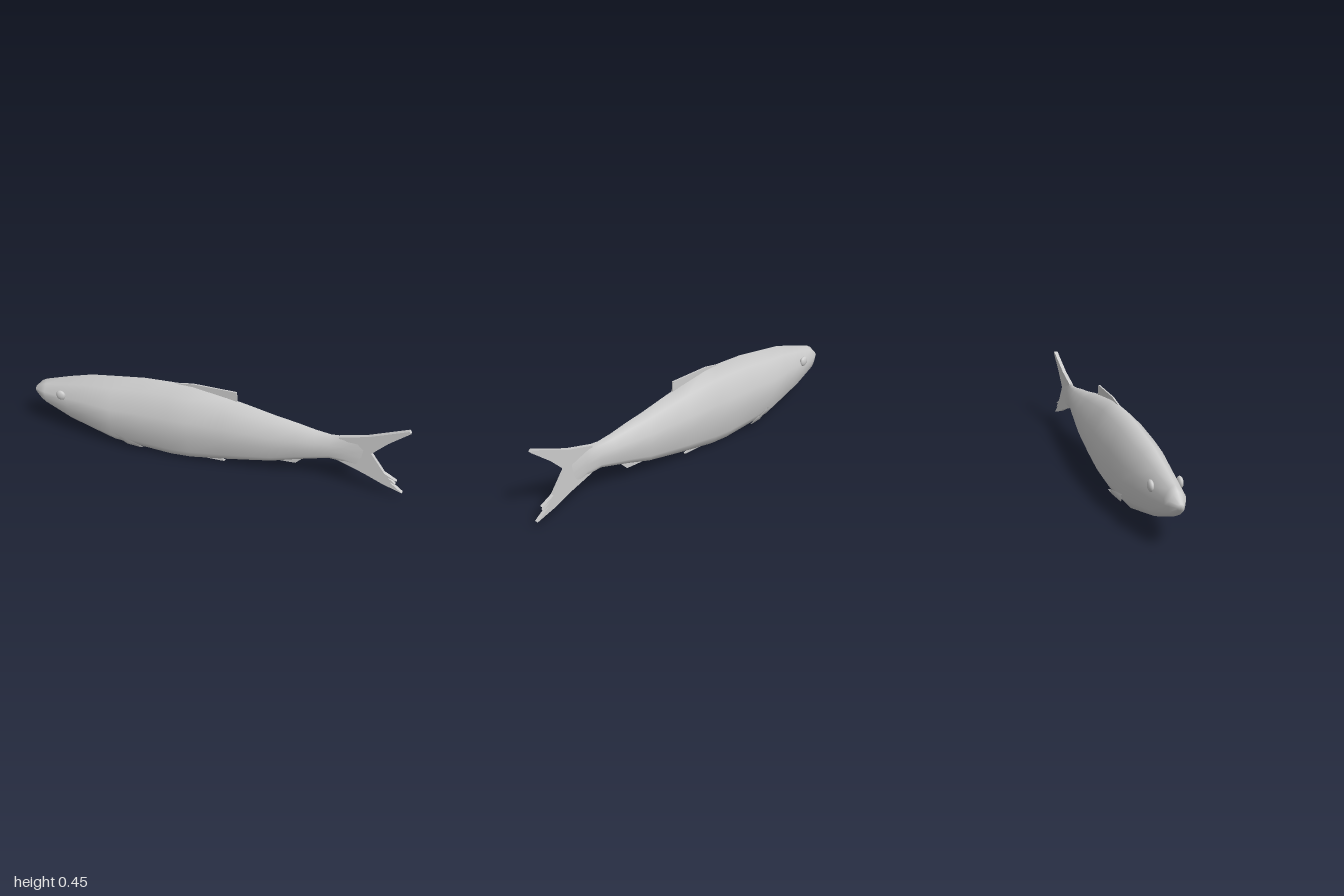
import * as THREE from 'three';

const grey = new THREE.MeshStandardMaterial({ color: 0xcccccc, side: THREE.DoubleSide });

// Body stations, nose to tail root: x, top, bottom, half width
const stations = [
  [-1.0, 0.24, 0.21, 0.015], [-0.96, 0.283, 0.175, 0.04], [-0.93, 0.3, 0.155, 0.05],
  [-0.79, 0.347, 0.095, 0.073], [-0.66, 0.385, 0.06, 0.092], [-0.53, 0.405, 0.025, 0.107],
  [-0.36, 0.43, 0.013, 0.107], [-0.21, 0.438, 0.004, 0.106], [-0.1, 0.436, 0.01, 0.102],
  [0.08, 0.41, 0.04, 0.089], [0.2, 0.387, 0.062, 0.078], [0.33, 0.36, 0.087, 0.066],
  [0.45, 0.34, 0.125, 0.052], [0.54, 0.322, 0.15, 0.04], [0.62, 0.312, 0.17, 0.027],
  [0.7, 0.32, 0.16, 0.016], [0.8, 0.345, 0.12, 0.009],
];

// Half cross-section, belly keel to back ridge: share of half width, share of height
const half = [[0.5, 0.03], [0.84, 0.16], [0.95, 0.4], [1, 0.62], [0.53, 0.88]];
const section = [
  [0, 1], ...half.slice().reverse(), [0, 0], ...half.map(([w, h]) => [-w, h]),
];

function bodyGeometry() {
  const pos = [], idx = [], n = section.length;
  for (const [x, top, bottom, width] of stations) {
    for (const [w, h] of section) pos.push(x, bottom + h * (top - bottom), w * width);
  }
  for (let i = 0; i < stations.length - 1; i++) {
    for (let j = 0; j < n; j++) {
      const a = i * n + j, b = i * n + (j + 1) % n;
      idx.push(a, b, a + n, b, b + n, a + n);
    }
  }
  // Close the nose and the tail root
  const last = (stations.length - 1) * n;
  for (let j = 1; j < n - 1; j++) {
    idx.push(0, j + 1, j, last, last + j, last + j + 1);
  }
  const geo = new THREE.BufferGeometry();
  geo.setAttribute('position', new THREE.Float32BufferAttribute(pos, 3));
  geo.setIndex(idx);
  geo.computeVertexNormals();
  return geo;
}

// Flat fin of even thickness, centred on z = 0
function finGeometry(points, thickness) {
  const shape = new THREE.Shape(points.map(([x, y]) => new THREE.Vector2(x, y)));
  const geo = new THREE.ExtrudeGeometry(shape, { depth: thickness, bevelEnabled: false });
  return geo.translate(0, 0, -thickness / 2);
}

export function createModel() {
  const fish = new THREE.Group();
  fish.name = 'fish';
  const add = (name, geo) => {
    const mesh = new THREE.Mesh(geo, grey);
    mesh.name = name;
    fish.add(mesh);
    return mesh;
  };

  add('body', bodyGeometry());

  // Forked tail with a ragged lower lobe
  add('tailFin', finGeometry([
    [0.66, 0.31], [0.8, 0.347], [0.99, 0.425], [1, 0.415], [0.9, 0.33], [0.825, 0.25],
    [0.9, 0.145], [0.965, 0.11], [0.92, 0.125], [0.96, 0.09], [0.93, 0.1],
    [1, 0.045], [0.9, 0.077], [0.8, 0.12], [0.66, 0.17],
  ], 0.02));

  // Dorsal fin, rising to a square rear edge
  add('dorsalFin', finGeometry(
    [[-0.22, 0.43], [-0.1, 0.45], [0.13, 0.45], [0.135, 0.39], [0, 0.4]], 0.008));

  // Anal fin
  add('analFin', finGeometry(
    [[0.26, 0.09], [0.33, 0.086], [0.45, 0.092], [0.5, 0.145], [0.35, 0.13]], 0.012));

  for (const side of [1, -1]) {
    const label = side > 0 ? 'left' : 'right';

    // Pectoral fin, a thin folded leaf lying along the lower flank
    const leaf = [
      [-0.53, 0.106, 0.09], [-0.4, 0.088, 0.11], [-0.34, 0.064, 0.105],
      [-0.37, 0.05, 0.095], [-0.45, 0.04, 0.077], [-0.44, 0.075, 0.085],
    ];
    const pectoral = new THREE.BufferGeometry();
    pectoral.setAttribute('position', new THREE.Float32BufferAttribute(
      leaf.flatMap(([x, y, z]) => [x, y, z * side]), 3));
    const faces = [0, 4, 1, 1, 4, 3, 1, 3, 2, 0, 1, 5, 1, 2, 5, 2, 3, 5, 3, 4, 5, 4, 0, 5];
    pectoral.setIndex(side > 0 ? faces : faces.reverse());
    pectoral.computeVertexNormals();
    add(label + 'PectoralFin', pectoral);

    // Pelvic fin, a small blade trailing from the belly
    const pelvic = add(label + 'PelvicFin', finGeometry(
      [[-0.06, 0.022], [0.08, 0.026], [0.085, 0.034], [0.02, 0.045]], 0.006));
    pelvic.position.z = 0.03 * side;

    // Low eye bulge
    const eye = add(label + 'Eye', new THREE.SphereGeometry(1, 10, 8));
    eye.scale.set(0.028, 0.028, 0.014);
    eye.position.set(-0.82, 0.262, 0.068 * side);
  }
  return fish;
}
